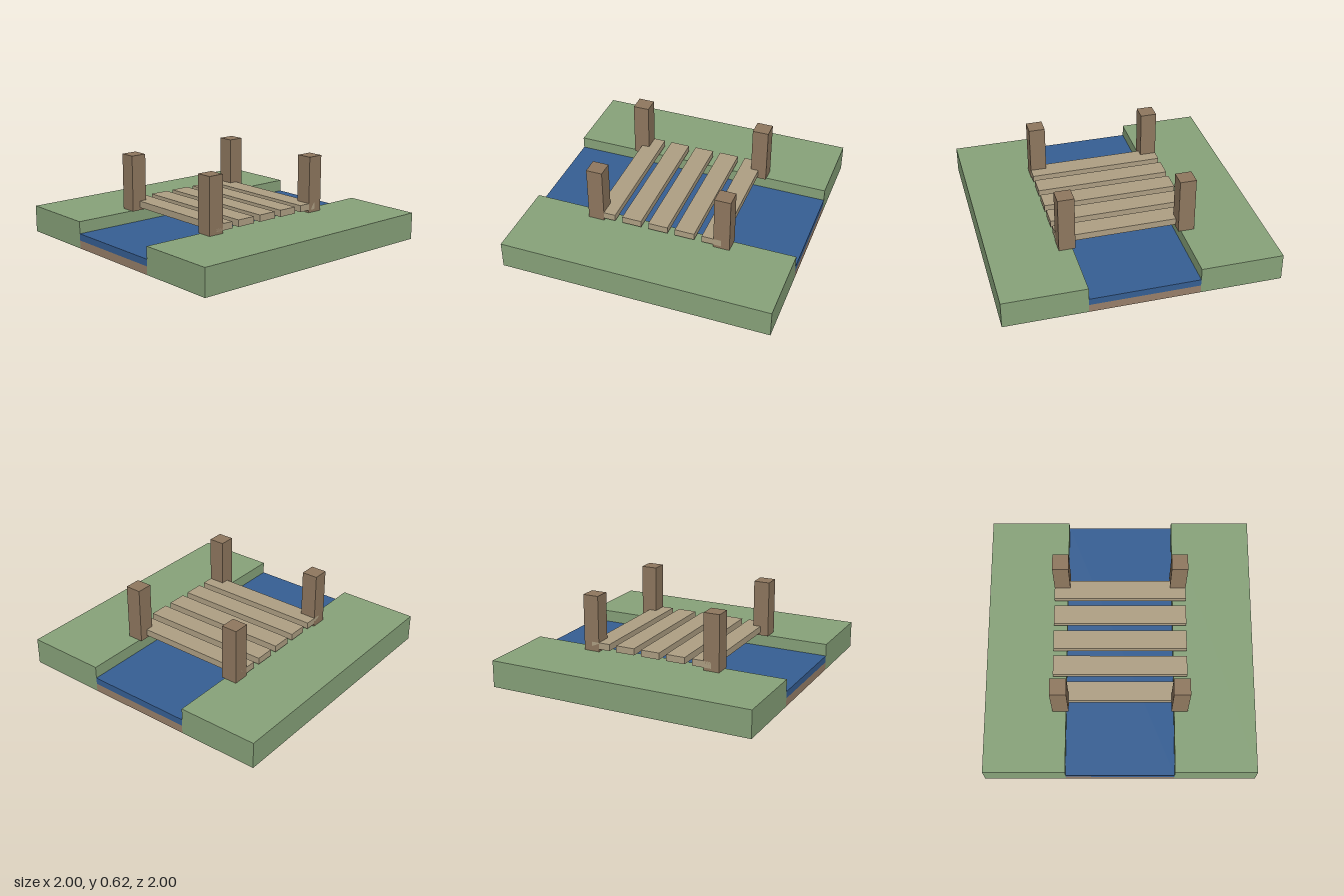
import * as THREE from 'three';

const material = (color) => new THREE.MeshStandardMaterial({ color });

export function createModel() {
  const model = new THREE.Group();
  model.name = 'streamCrossing';

  const grass = material(0x88a37a);
  const soil = material(0x98806a);
  const water = material(0x365f94);
  const plankWood = material(0xafa084);
  const postWood = material(0x8f785f);

  // Box placed by its centre in plan and by its underside
  function addBox(name, mat, [w, h, d], [x, bottom, z]) {
    const mesh = new THREE.Mesh(new THREE.BoxGeometry(w, h, d), mat);
    mesh.name = name;
    mesh.position.set(x, bottom + h / 2, z);
    model.add(mesh);
  }

  // Stream bed and water between the banks
  addBox('streamBed', soil, [2, 0.06, 0.8], [0, 0, 0]);
  addBox('water', water, [2, 0.05, 0.8], [0, 0.06, 0]);

  // Grass banks
  addBox('frontBank', grass, [2, 0.2, 0.6], [0, 0, 0.7]);
  addBox('backBank', grass, [2, 0.2, 0.6], [0, 0, -0.7]);

  // Bridge deck planks
  for (let i = -2; i <= 2; i++) {
    addBox(`plank${i + 3}`, plankWood, [0.146, 0.05, 1], [i * 0.2025, 0.22, 0]);
  }

  // Corner posts
  for (const [sideX, xName] of [[1, 'Left'], [-1, 'Right']]) {
    for (const [sideZ, zName] of [[1, 'front'], [-1, 'back']]) {
      addBox(`${zName}${xName}Post`, postWood, [0.12, 0.42, 0.12], [sideX * 0.48, 0.2, sideZ * 0.44]);
    }
  }

  return model;
}
